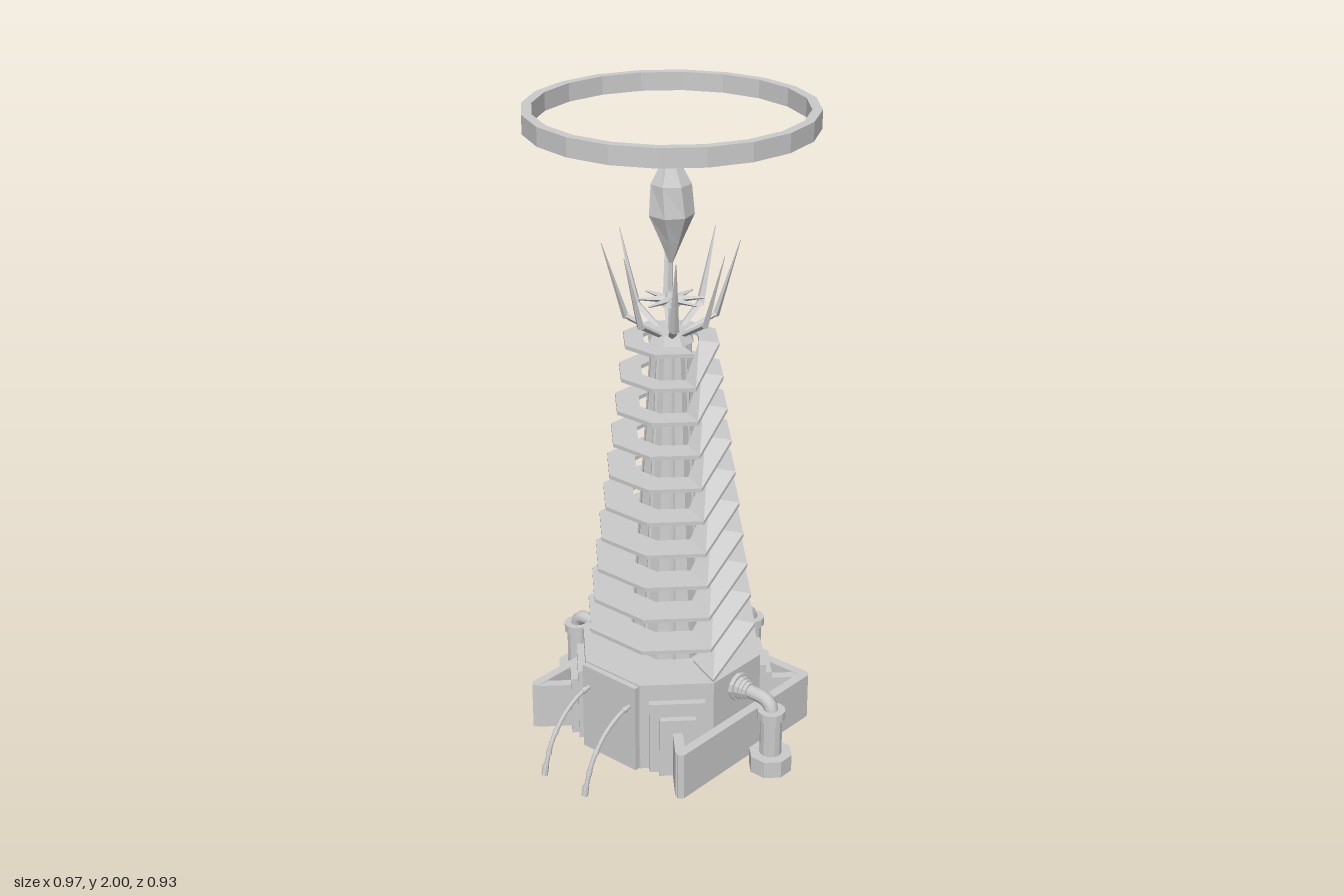
import * as THREE from 'three';

const OCT = Math.cos(Math.PI / 8);
const flat = new THREE.MeshStandardMaterial({ color: 0xcccccc, flatShading: true });
const smooth = new THREE.MeshStandardMaterial({ color: 0xcccccc });
const V = (x, y, z = 0) => new THREE.Vector3(x, y, z);

function add(parent, name, geo, mat = flat) {
  const mesh = new THREE.Mesh(geo, mat);
  mesh.name = name;
  parent.add(mesh);
  return mesh;
}

function box(x0, x1, y0, y1, z0, z1) {
  return new THREE.BoxGeometry(x1 - x0, y1 - y0, z1 - z0)
    .translate((x0 + x1) / 2, (y0 + y1) / 2, (z0 + z1) / 2);
}

// Octagonal prism with flats on the axes; a0 and a1 are bottom and top apothems
function octagon(a0, a1, y0, y1) {
  return new THREE.CylinderGeometry(a1 / OCT, a0 / OCT, y1 - y0, 8)
    .rotateY(Math.PI / 8).translate(0, (y0 + y1) / 2, 0);
}

// Tapered bar between two points, optionally widened across z
function strut(a, b, ra, rb, sides = 4, widen = 1) {
  const d = b.clone().sub(a);
  const g = new THREE.CylinderGeometry(rb, ra, d.length(), sides).scale(1, 1, widen);
  g.applyQuaternion(new THREE.Quaternion().setFromUnitVectors(V(0, 1, 0), d.normalize()));
  return g.translate((a.x + b.x) / 2, (a.y + b.y) / 2, (a.z + b.z) / 2);
}

function turned(parent, name, angle) {
  const g = new THREE.Group();
  g.name = name;
  g.rotation.y = angle;
  parent.add(g);
  return g;
}

// One continuous octagonal ribbon: flat turns joined by ramps at the front
function spiralGeometry() {
  const stations = [];
  const station = (level, corner) => {
    const phi = Math.PI / 8 + corner * Math.PI / 4, y = 0.397 + 0.101 * level;
    const outer = (0.252 - 0.0128 * level) / OCT, inner = (0.138 - 0.0064 * level) / OCT;
    const p = (r, dy) => V(r * Math.sin(phi), y + dy, r * Math.cos(phi));
    stations.push([p(outer, -0.006), p(outer, 0.006), p(inner, 0.006), p(inner, -0.006)]);
  };
  station(-1, 7);
  for (let level = 0; level < 10; level++)
    for (let corner = 0; corner < 8; corner++) station(level, corner);
  const pos = [];
  const quad = (a, b, c, d) => [a, b, c, a, c, d].forEach(v => pos.push(v.x, v.y, v.z));
  for (let s = 0; s < stations.length - 1; s++)
    for (let k = 0; k < 4; k++) {
      const P = stations[s], Q = stations[s + 1], n = (k + 1) % 4;
      quad(P[k], Q[k], Q[n], P[n]);
    }
  quad(...stations[0]);
  quad(...stations[stations.length - 1].slice().reverse());
  const g = new THREE.BufferGeometry();
  g.setAttribute('position', new THREE.Float32BufferAttribute(pos, 3));
  g.computeVertexNormals();
  return g;
}

function buildBase(root) {
  add(root, 'base', octagon(0.27, 0.27, 0, 0.295));

  // Three-sided wall, open on the hose side
  const o = 0.316, i = 0.286, c = 0.014;
  const wall = new THREE.Shape([
    [-o, -o + c], [-o + c, -o], [o - c, -o], [o, -o + c], [o, o - c], [o - c, o], [-o + c, o], [-o, o - c],
    [-o + c, i], [i, i], [i, -i], [-o + c, -i],
  ].map(p => new THREE.Vector2(...p)));
  add(root, 'perimeterWall', new THREE.ExtrudeGeometry(wall, { depth: 0.152, bevelEnabled: false })
    .rotateX(-Math.PI / 2));

  // Stepped hatches and braces on the diagonal faces
  for (let k = 0; k < 4; k++) {
    const g = turned(root, 'cornerHatch', Math.PI / 4 + k * Math.PI / 2);
    add(g, 'hatchFrame', box(0.25, 0.293, 0, 0.24, -0.085, 0.085));
    add(g, 'hatchDoor', box(0.25, 0.315, 0, 0.195, -0.055, 0.055));
    add(g, 'wallBrace', box(0.3, 0.425, 0, 0.15, -0.015, 0.015));
  }

  // Hose panel with two drooping hoses
  add(root, 'hosePanel', box(-0.288, -0.26, 0, 0.29, -0.108, 0.108));
  for (const z of [-0.084, 0.084]) {
    const path = new THREE.CatmullRomCurve3([
      V(-0.27, 0.222, z), V(-0.33, 0.212, z), V(-0.4, 0.17, z), V(-0.455, 0.1, z), V(-0.488, 0.01, z)]);
    add(root, 'hose', new THREE.TubeGeometry(path, 14, 0.007, 8), smooth);
    add(root, 'hoseTip', strut(V(-0.482, 0.035, z), V(-0.489, 0.002, z), 0.01, 0.01, 8));
    for (const t of [0.12, 0.6, 0.8]) {
      const p = path.getPointAt(t), d = path.getTangentAt(t).multiplyScalar(0.007);
      add(root, 'hoseCollar', strut(p.clone().sub(d), p.clone().add(d), 0.009, 0.009, 8));
    }
  }
}

function buildPipe(root, angle) {
  const g = turned(root, 'sidePipe', angle), y = 0.235, x = 0.405;
  const rings = [[0.265, 0.284, 0.044], [0.284, 0.298, 0.036], [0.298, 0.31, 0.032], [0.31, 0.322, 0.028]];
  for (const [x0, x1, r] of rings) add(g, 'pipeFlange', strut(V(x0, y), V(x1, y), r, r, 12));
  const path = new THREE.CurvePath();
  path.add(new THREE.LineCurve3(V(0.3, y), V(x - 0.045, y)));
  path.add(new THREE.QuadraticBezierCurve3(V(x - 0.045, y), V(x, y), V(x, y - 0.045)));
  path.add(new THREE.LineCurve3(V(x, y - 0.045), V(x, 0.15)));
  add(g, 'elbowPipe', new THREE.TubeGeometry(path, 12, 0.022, 10), smooth);
  const upright = [[0.178, 0.205, 0.043], [0.05, 0.18, 0.034]];
  for (const [y0, y1, r] of upright) add(g, 'uprightPipe', strut(V(x, y0), V(x, y1), r, r, 12));
  add(g, 'pipeFoot', octagon(0.062, 0.062, 0, 0.055).translate(x, 0, 0));
}

function buildCrown(root) {
  add(root, 'crownCollar', octagon(0.066, 0.05, 1.305, 1.335));
  add(root, 'mast', strut(V(0, 1.3), V(0, 1.56), 0.009, 0.006, 6));
  add(root, 'starHub', strut(V(0, 1.412), V(0, 1.455), 0.03, 0.012, 8));
  for (let k = 0; k < 8; k++) {
    const g = turned(root, 'crownSpike', k * Math.PI / 4);
    add(g, 'spikeArm', strut(V(0.03, 1.32), V(0.135, 1.385), 0.007, 0.009, 4, 1.5));
    add(g, 'spikeBlade', strut(V(0.131, 1.377), V(0.2, 1.605), 0.01, 0.001, 4, 1.5));
    add(g, 'starRay', strut(V(0.01, 1.43), V(0.097, 1.432), 0.012, 0.003));
  }
}

function buildCrystal(root) {
  const profile = [[0.001, 1.53], [0.034, 1.61], [0.068, 1.69], [0.06, 1.78], [0.028, 1.84], [0.001, 1.845]];
  const geo = new THREE.LatheGeometry(profile.map(p => new THREE.Vector2(...p)), 7);
  // Twist the rings for uneven facets
  const p = geo.attributes.position;
  for (let i = 0; i < p.count; i++) {
    const a = (p.getY(i) - 1.53) * 1.4, x = p.getX(i), z = p.getZ(i);
    p.setX(i, x * Math.cos(a) - z * Math.sin(a));
    p.setZ(i, x * Math.sin(a) + z * Math.cos(a));
  }
  add(root, 'crystal', geo);
}

export function createModel() {
  const model = new THREE.Group();
  model.name = 'tower';
  const root = new THREE.Group();
  root.name = 'towerBody';
  root.position.x = 0.013;
  model.add(root);

  buildBase(root);
  for (const a of [0, Math.PI / 2, -Math.PI / 2]) buildPipe(root, a);

  // Tapered core with a rib on each face
  add(root, 'core', octagon(0.122, 0.056, 0.29, 1.315));
  for (let k = 0; k < 8; k++)
    add(turned(root, 'coreRib', k * Math.PI / 4), 'rib',
      strut(V(0.112, 0.29), V(0.048, 1.31), 0.015, 0.012, 4, 1.6));
  add(root, 'spiralPlates', spiralGeometry());

  buildCrown(root);
  buildCrystal(root);

  // Floating halo ring
  const halo = [[0.392, 1.945], [0.421, 1.945], [0.421, 2], [0.392, 2], [0.392, 1.945]];
  add(root, 'haloRing', new THREE.LatheGeometry(halo.map(p => new THREE.Vector2(...p)), 20));
  return model;
}
